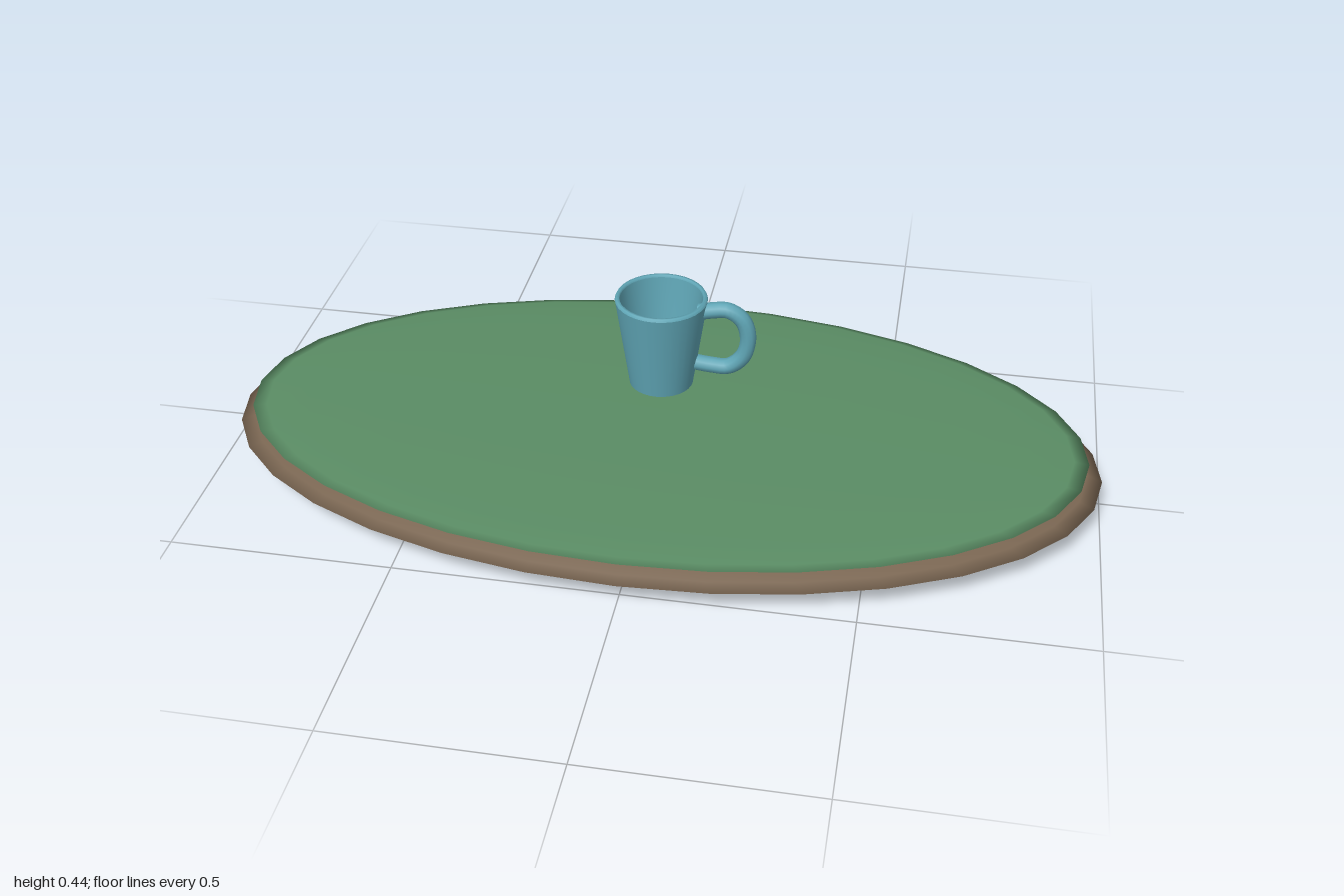
import * as THREE from 'three';

const mat = (name, color, side = THREE.FrontSide) => {
  const m = new THREE.MeshStandardMaterial({ color, side });
  m.name = name;
  return m;
};

export function createModel() {
  const group = new THREE.Group();
  const soil = mat('brown', 0x7a6652);
  const grass = mat('green', 0x5a8c64);
  const glaze = mat('blue', 0x5fa5b5, THREE.DoubleSide);

  const add = (name, geometry, material) => {
    const mesh = new THREE.Mesh(geometry, material);
    mesh.name = name;
    group.add(mesh);
    return mesh;
  };

  // Flattened oval discs: a thick base and a thin top layer
  const disc = (name, material, rx, ry, rz, y) => {
    const mesh = add(name, new THREE.SphereGeometry(1, 32, 12), material);
    mesh.scale.set(rx, ry, rz);
    mesh.position.y = y;
  };
  disc('base', soil, 1, 0.06, 0.545, 0.06);
  disc('topLayer', grass, 0.967, 0.019, 0.527, 0.103);

  // Cup walls as separate smooth strips, so edges stay sharp
  const lathe = (name, points) =>
    add(name, new THREE.LatheGeometry(points.map(([r, y]) => new THREE.Vector2(r, y)), 32), glaze);
  lathe('cupBottom', [[0, 0.219], [0.072, 0.219]]);
  lathe('cupWall', [[0.072, 0.219], [0.103, 0.432]]);
  lathe('cupRim', [[0.103, 0.432], [0.1, 0.438], [0.094, 0.438], [0.092, 0.433]]);
  lathe('cupInside', [[0.092, 0.433], [0.068, 0.25], [0.058, 0.236], [0, 0.234]]);

  // Handle on the left side, with both ends sunk into the wall
  const path = new THREE.CatmullRomCurve3([
    [0.085, 0.407], [0.115, 0.414], [0.15, 0.417], [0.182, 0.395], [0.195, 0.35],
    [0.184, 0.302], [0.152, 0.273], [0.115, 0.272], [0.075, 0.276],
  ].map(([x, y]) => new THREE.Vector3(x, y, 0)));
  add('handle', new THREE.TubeGeometry(path, 32, 0.0185, 10), glaze);

  return group;
}
